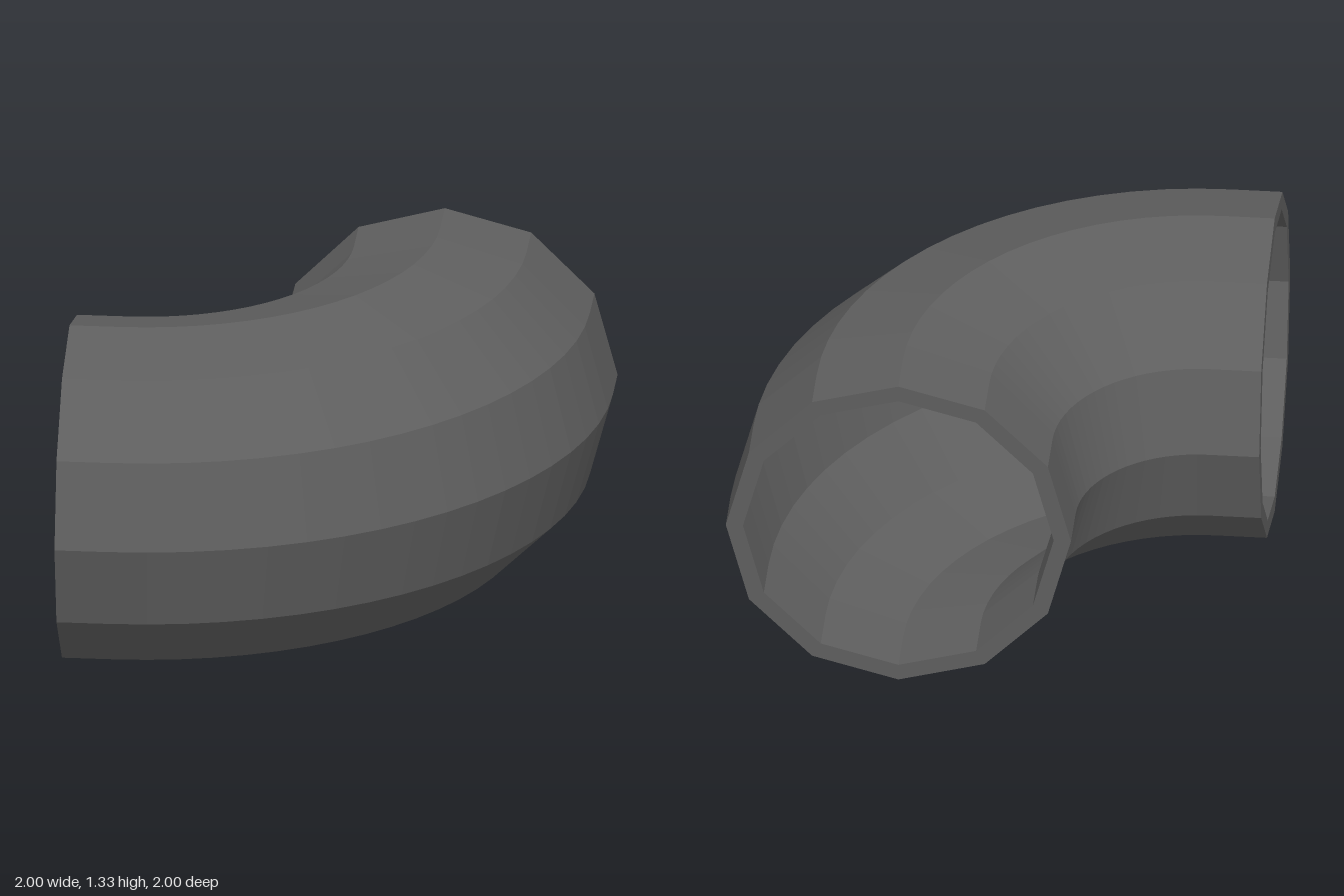
import * as THREE from 'three';

const SIDES = 12;            // facets around the pipe
const BEND_STEPS = 18;       // facets along the quarter bend
const OUTER = 2 / 3, INNER = 0.6;
const CENTRE = -0.8;         // bend centre in both x and z
const BEND = 1 / 3 - CENTRE; // bend radius of the centre line

// Centre-line stations: a point and the sideways direction of the section
function makeStations() {
  const stations = [{ x: -1, z: 1 / 3, dx: 0, dz: 1 }];
  for (let i = 0; i <= BEND_STEPS; i++) {
    const t = (i / BEND_STEPS) * Math.PI / 2;
    const dx = Math.sin(t), dz = Math.cos(t);
    stations.push({ x: CENTRE + BEND * dx, z: CENTRE + BEND * dz, dx, dz });
  }
  stations.push({ x: 1 / 3, z: -1, dx: 1, dz: 0 });
  return stations;
}

// One regular polygon section across the pipe
function ring(s, radius) {
  return Array.from({ length: SIDES }, (_, j) => {
    const a = (j / SIDES) * Math.PI * 2;
    const c = radius * Math.cos(a);
    return [s.x + s.dx * c, OUTER + radius * Math.sin(a), s.z + s.dz * c];
  });
}

// Flat-faceted skin through successive rings
function skin(rings) {
  const pos = [];
  for (let i = 0; i < rings.length - 1; i++) {
    for (let j = 0; j < SIDES; j++) {
      const k = (j + 1) % SIDES;
      const a = rings[i][j], b = rings[i + 1][j], c = rings[i + 1][k], d = rings[i][k];
      pos.push(...a, ...b, ...c, ...a, ...c, ...d);
    }
  }
  const geo = new THREE.BufferGeometry();
  geo.setAttribute('position', new THREE.Float32BufferAttribute(pos, 3));
  geo.computeVertexNormals();
  return geo;
}

export function createModel() {
  const group = new THREE.Group();
  group.name = 'pipeElbow';
  const grey = new THREE.MeshStandardMaterial({ color: 0x5e5e5e });
  grey.name = 'dark grey';

  const add = (name, rings) => {
    const mesh = new THREE.Mesh(skin(rings), grey);
    mesh.name = name;
    group.add(mesh);
  };

  const stations = makeStations();
  const first = stations[0], last = stations[stations.length - 1];
  add('outerWall', stations.map((s) => ring(s, OUTER)));
  add('innerWall', stations.map((s) => ring(s, INNER)).reverse());
  // Flat rims closing the wall thickness at both openings
  add('leftRim', [ring(first, INNER), ring(first, OUTER)]);
  add('backRim', [ring(last, OUTER), ring(last, INNER)]);
  return group;
}
